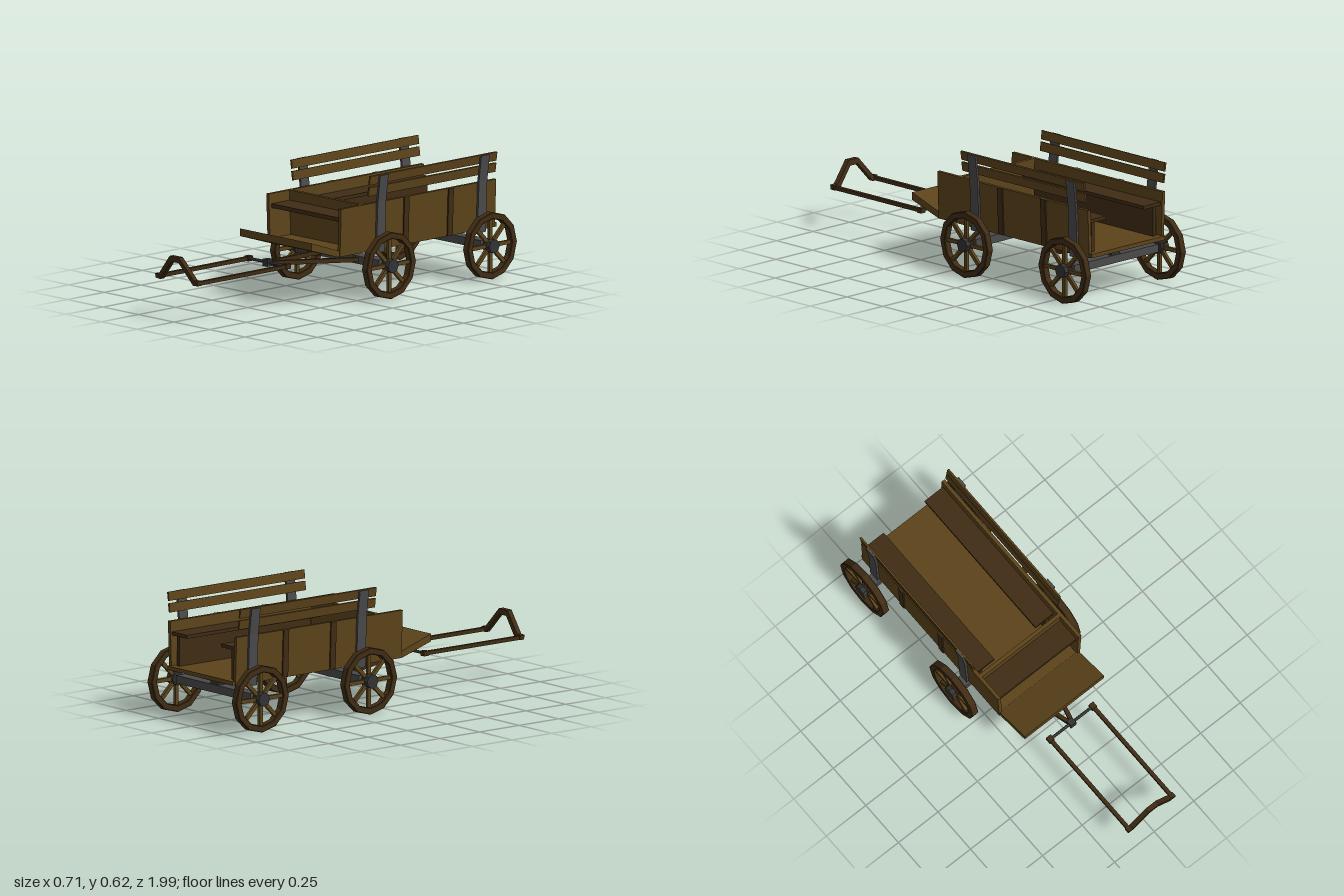
import * as THREE from 'three';

const mat = (color) => new THREE.MeshStandardMaterial({ color, flatShading: true });
const wood = mat(0x5c431b);
const darkWood = mat(0x3f2c14);
const iron = mat(0x4a4a4c);
const darkIron = mat(0x333335);

export function createModel() {
  const model = new THREE.Group();

  const add = (name, geometry, material, parent = model) => {
    const mesh = new THREE.Mesh(geometry, material);
    mesh.name = name;
    parent.add(mesh);
    return mesh;
  };

  // box given by its limits on each axis
  const box = (name, material, [x0, x1], [y0, y1], [z0, z1]) => {
    const mesh = add(name, new THREE.BoxGeometry(Math.abs(x1 - x0), y1 - y0, z1 - z0), material);
    mesh.position.set((x0 + x1) / 2, (y0 + y1) / 2, (z0 + z1) / 2);
  };

  const outline = (pts) => new THREE.Shape(pts.map(([x, y]) => new THREE.Vector2(x, y)));

  // front outline (x, y) extruded from z0 to z1
  const prism = (name, material, pts, z0, z1) => {
    const g = new THREE.ExtrudeGeometry(outline(pts), { depth: z1 - z0, bevelEnabled: false });
    return add(name, g.translate(0, 0, z0), material);
  };

  // square bar between two points
  const bar = (name, material, a, b, w, h) => {
    const from = new THREE.Vector3(...a), to = new THREE.Vector3(...b);
    const mesh = add(name, new THREE.BoxGeometry(w, h, from.distanceTo(to)), material);
    mesh.position.copy(from).lerp(to, 0.5);
    mesh.lookAt(to);
  };

  // eight-sided cylinder lying along x
  const rod = (name, material, radius, x0, x1, y, z, parent = model) => {
    const g = new THREE.CylinderGeometry(radius, radius, Math.abs(x1 - x0), 8).rotateZ(Math.PI / 2);
    add(name, g, material, parent).position.set((x0 + x1) / 2, y, z);
  };

  const frontZ = -0.145, rearZ = -0.83, wheelY = 0.167;

  // floor and rising footboard
  box('floor', wood, [-0.25, 0.25], [0.235, 0.255], [-0.945, 0.12]);
  const foot = new THREE.ExtrudeGeometry(
    outline([[0.11, 0.235], [0.13, 0.235], [0.31, 0.292], [0.31, 0.33], [0.11, 0.262]]),
    { depth: 0.5, bevelEnabled: false });
  add('footboard', foot.translate(0, 0, -0.25).rotateY(-Math.PI / 2), wood);

  // driver's seat with its back panel
  box('seatBack', wood, [-0.25, 0.25], [0.25, 0.475], [-0.04, -0.02]);
  box('driverSeat', darkWood, [-0.247, 0.247], [0.405, 0.425], [-0.02, 0.105]);

  for (const s of [-1, 1]) {
    const mirror = (pts) => pts.map(([x, y]) => [x * s, y]);

    // slightly flared side board with ribs
    prism('sideBoard', wood,
      mirror([[0.237, 0.235], [0.255, 0.235], [0.264, 0.475], [0.246, 0.475]]), -0.93, 0.12);
    for (const z of [-0.32, -0.62]) {
      prism('sideRib', darkWood,
        mirror([[0.25, 0.237], [0.262, 0.237], [0.271, 0.475], [0.259, 0.475]]), z - 0.017, z + 0.017);
    }

    // passenger bench
    box('benchPlank', darkWood, [0.13 * s, 0.25 * s], [0.405, 0.422], [-0.92, -0.07]);
    box('benchPanel', darkWood, [0.2 * s, 0.22 * s], [0.255, 0.405], [-0.91, -0.08]);

    // iron posts
    for (const z of [frontZ, rearZ]) {
      prism('post', iron,
        mirror([[0.253, 0.222], [0.265, 0.222], [0.276, 0.48], [0.293, 0.612],
          [0.281, 0.612], [0.264, 0.48]]), z - 0.028, z + 0.028);
    }

    // top rails
    prism('lowerRail', wood,
      mirror([[0.26, 0.515], [0.269, 0.513], [0.276, 0.558], [0.266, 0.56]]), -0.92, -0.06);
    prism('upperRail', wood,
      mirror([[0.267, 0.572], [0.276, 0.57], [0.283, 0.614], [0.273, 0.616]]), -0.92, -0.06);
  }

  // undercarriage: brackets, axles and the reach joining them
  for (const z of [frontZ, rearZ]) {
    prism('crossBracket', iron,
      [[-0.265, 0.236], [-0.265, 0.222], [-0.1, 0.206], [0.1, 0.206], [0.265, 0.222], [0.265, 0.236]],
      z - 0.028, z + 0.028);
    box('axleBeam', iron, [-0.287, 0.287], [0.15, 0.19], [z - 0.03, z + 0.03]);
    box('axlePivot', darkIron, [-0.03, 0.03], [0.185, 0.21], [z - 0.025, z + 0.025]);
    rod('axle', darkIron, 0.016, -0.345, 0.345, wheelY, z);
  }
  box('reach', iron, [-0.022, 0.022], [0.204, 0.236], [rearZ, frontZ]);

  // wheels
  const circle = (r) => Array.from({ length: 12 }, (_, i) => {
    const a = i * Math.PI / 6;
    return new THREE.Vector2(Math.cos(a) * r, Math.sin(a) * r);
  });
  const ring = new THREE.Shape(circle(0.167));
  ring.holes.push(new THREE.Path(circle(0.134)));
  const rimGeometry = new THREE.ExtrudeGeometry(ring, {
    depth: 0.032, bevelSegments: 1, bevelSize: 0.003, bevelThickness: 0.003, bevelOffset: -0.003,
  }).translate(0, 0, -0.016).rotateY(Math.PI / 2);
  const spokeGeometry = new THREE.BoxGeometry(0.016, 0.112, 0.019).translate(0, 0.084, 0);
  for (const z of [frontZ, rearZ]) {
    for (const s of [-1, 1]) {
      const wheel = new THREE.Group();
      wheel.name = 'wheel';
      wheel.position.set(0.324 * s, wheelY, z);
      model.add(wheel);
      add('rim', rimGeometry, darkWood, wheel);
      rod('hub', darkIron, 0.035, -0.019 * s, 0.032 * s, 0, 0, wheel);
      for (let i = 0; i < 8; i++) {
        add('spoke', spokeGeometry, wood, wheel).rotation.x = i * Math.PI / 4;
      }
    }
  }

  // V-shaped tongue, pull shafts and hitch
  const hitchZ = 0.365, shaftX = 0.135, shaftY = 0.207;
  for (const s of [-1, 1]) {
    bar('tongueArm', darkWood, [0.135 * s, 0.17, -0.13], [0.006 * s, 0.203, 0.36], 0.02, 0.022);
    bar('pullShaft', darkWood, [shaftX * s, shaftY, 0.35], [shaftX * s, shaftY, 0.975], 0.019, 0.019);
    box('shaftEnd', darkWood, [0.12 * s, 0.149 * s], [0.195, 0.22], [0.35, 0.38]);
  }
  rod('hitchBar', iron, 0.008, -shaftX, shaftX, shaftY, hitchZ);
  box('hitchBlock', darkIron, [-0.017, 0.017], [0.189, 0.224], [0.348, 0.382]);

  // arched pull handle leaning forward
  const handle = prism('pullHandle', darkWood,
    [[-0.149, 0.22], [-0.149, 0.197], [-0.115, 0.195], [-0.026, 0.297], [0.026, 0.297], [0.115, 0.195],
      [0.149, 0.197], [0.149, 0.22], [0.123, 0.222], [0.033, 0.325], [-0.033, 0.325], [-0.123, 0.222]],
    0.955, 0.981);
  const p = handle.geometry.attributes.position;
  for (let i = 0; i < p.count; i++) p.setZ(i, p.getZ(i) + (p.getY(i) - 0.195) * 0.13);
  handle.geometry.computeVertexNormals();

  return model;
}
